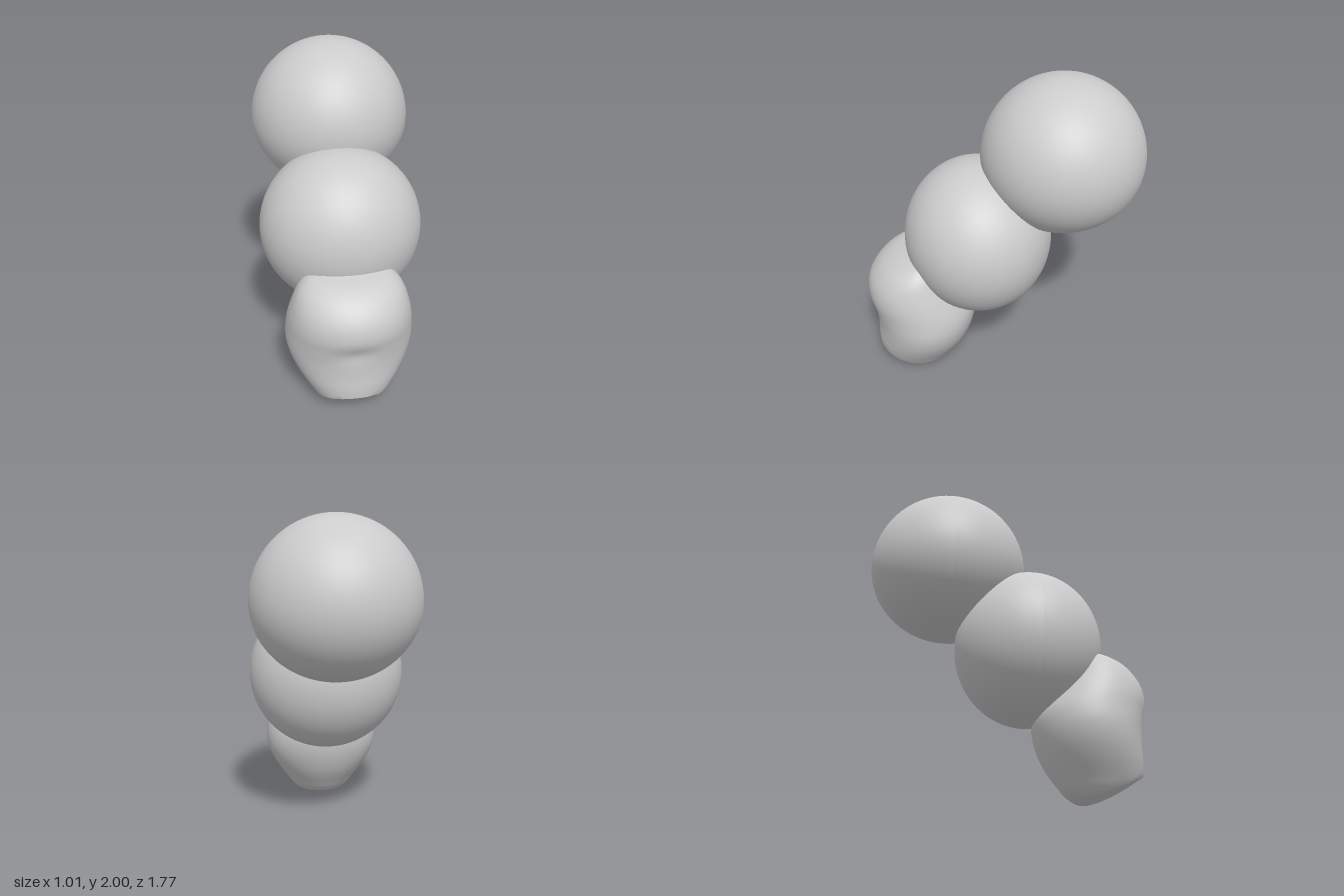
import * as THREE from 'three';
import { toCreasedNormals } from 'three/addons/utils/BufferGeometryUtils.js';

const material = new THREE.MeshStandardMaterial({ color: 0xcccccc });

// Ball with separate radii; the underside may be a little flatter than the top
function ball(name, y, z, rx, ryTop, ryBottom, rz) {
  const geo = new THREE.SphereGeometry(1, 64, 48);
  const p = geo.attributes.position;
  for (let i = 0; i < p.count; i++) {
    const v = p.getY(i);
    p.setXYZ(i, p.getX(i) * rx, v * (v > 0 ? ryTop : ryBottom), p.getZ(i) * rz);
  }
  geo.computeVertexNormals();
  const mesh = new THREE.Mesh(geo, material);
  mesh.name = name;
  mesh.position.set(0, y, z);
  return mesh;
}

// Height of the slanted, slightly hollow cut under the end segment
const cutHeight = (z) => 0.15 * Math.pow(Math.max(0, (z - 0.45) / 0.39), 1.6);

// End segment: oval sections stacked in y, given as [y, halfWidth, frontZ, backZ]
function endSegment() {
  const sections = [
    [0.90, 0.08, 0.58, 0.46], [0.88, 0.21, 0.62, 0.42], [0.85, 0.265, 0.71, 0.38],
    [0.79, 0.315, 0.80, 0.34], [0.70, 0.35, 0.867, 0.28], [0.60, 0.375, 0.885, 0.22],
    [0.50, 0.388, 0.868, 0.178], [0.40, 0.39, 0.848, 0.183], [0.30, 0.365, 0.845, 0.21],
    [0.20, 0.315, 0.85, 0.255], [0.10, 0.25, 0.84, 0.322], [0.05, 0.215, 0.80, 0.36],
    [0.015, 0.18, 0.75, 0.405], [0, 0.15, 0.70, 0.44],
  ];
  const sizes = new THREE.SplineCurve(sections.map((s) => new THREE.Vector2(s[0], s[1])));
  const depths = new THREE.SplineCurve(sections.map((s) => new THREE.Vector2(s[2], s[3])));
  const rows = 52, caps = 6, sides = 64;
  const pos = [], index = [];
  for (let i = 0; i <= rows + caps; i++) {
    const t = Math.min(1, i / rows);
    const shrink = i > rows ? 1 - (i - rows) / caps : 1;
    const s = sizes.getPoint(t), d = depths.getPoint(t);
    const mid = (d.x + d.y) / 2, half = ((d.x - d.y) / 2) * shrink;
    for (let j = 0; j < sides; j++) {
      const a = (j / sides) * Math.PI * 2;
      const x = s.y * shrink * Math.sin(a);
      let z = mid + half * Math.cos(a);
      // shallow dimple in the front
      if (Math.cos(a) > 0) {
        z -= 0.02 * Math.exp(-((x / 0.12) ** 2) - ((s.x - 0.48) / 0.06) ** 2);
      }
      pos.push(x, Math.max(0, s.x, cutHeight(z)), z);
    }
  }
  for (let i = 0; i < rows + caps; i++) {
    for (let j = 0; j < sides; j++) {
      const k = (j + 1) % sides;
      const a = i * sides + j, b = i * sides + k;
      const c = a + sides, e = b + sides;
      index.push(a, c, b, b, c, e);
    }
  }
  const geo = new THREE.BufferGeometry();
  geo.setAttribute('position', new THREE.Float32BufferAttribute(pos, 3));
  geo.setIndex(index);
  const mesh = new THREE.Mesh(toCreasedNormals(geo, 0.7), material);
  mesh.name = 'endSegment';
  return mesh;
}

export function createModel() {
  const group = new THREE.Group();
  group.name = 'segmentedBody';
  group.add(
    ball('topSegment', 1.495, -0.378, 0.505, 0.505, 0.465, 0.505),
    ball('middleSegment', 0.966, 0.15, 0.505, 0.505, 0.505, 0.47),
    endSegment(),
  );
  return group;
}
